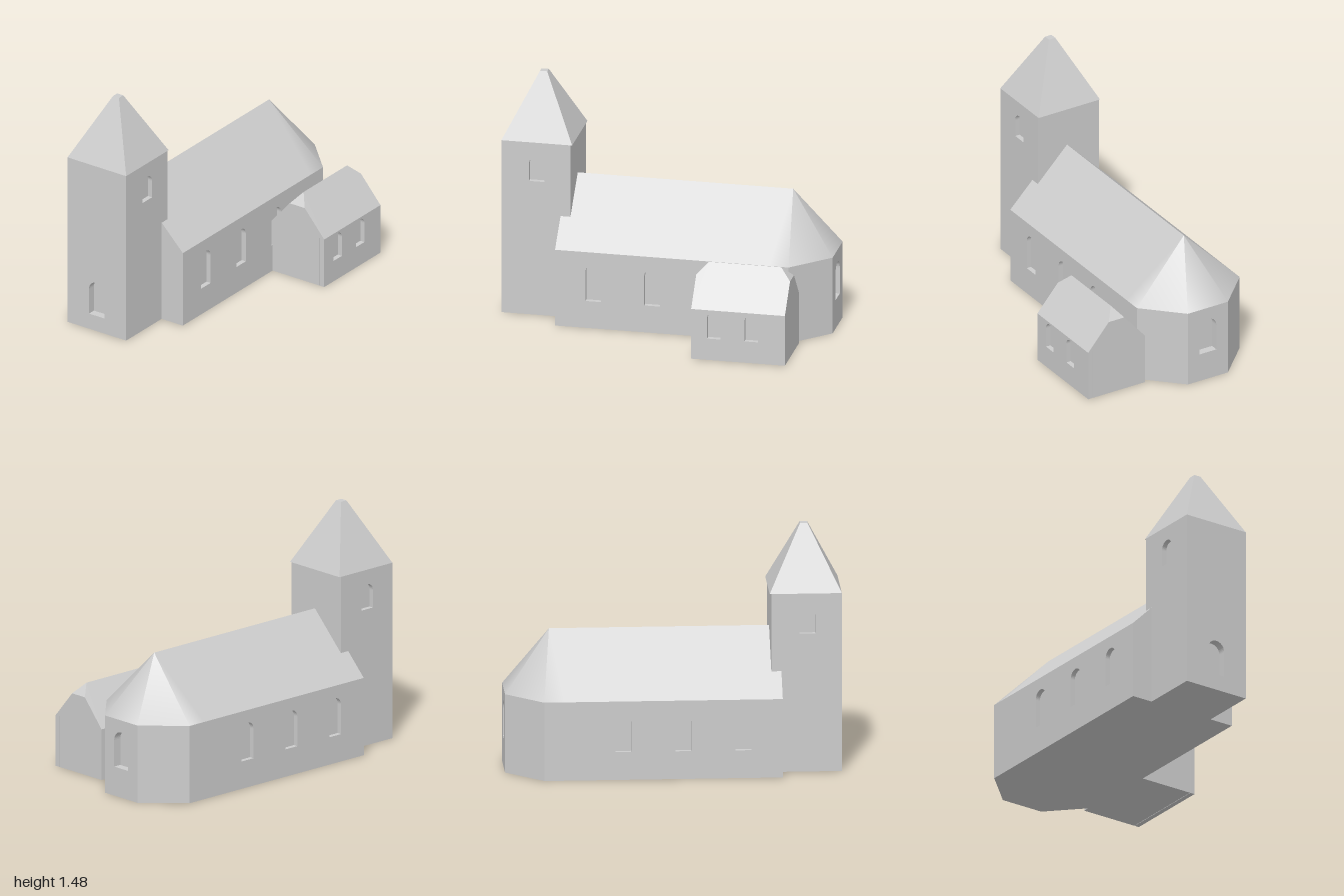
import * as THREE from 'three';
import { ConvexGeometry } from 'three/addons/geometries/ConvexGeometry.js';

const stone = new THREE.MeshStandardMaterial({ color: 0xcccccc });
stone.name = 'pale grey';

function part(name, geometry) {
  const mesh = new THREE.Mesh(geometry, stone);
  mesh.name = name;
  return mesh;
}

// Vertical solid standing on the ground, from [x, z] corners
function footprint(name, corners, height) {
  const shape = new THREE.Shape(corners.map(([x, z]) => new THREE.Vector2(x, -z)));
  const geo = new THREE.ExtrudeGeometry(shape, { depth: height, bevelEnabled: false });
  return part(name, geo.rotateX(-Math.PI / 2));
}

// Flat-sided closed solid around a few [x, y, z] points
function solid(name, points) {
  return part(name, new ConvexGeometry(points.map((p) => new THREE.Vector3(...p))));
}

// Round-headed opening
function arch(u, bottom, width, height) {
  const r = width / 2;
  const path = new THREE.Path();
  path.moveTo(u - r, bottom);
  path.lineTo(u + r, bottom);
  path.lineTo(u + r, bottom + height - r);
  path.absarc(u, bottom + height - r, r, 0, Math.PI, false);
  path.lineTo(u - r, bottom);
  return path;
}

// Outer wall layer with niches; x and z locate the middle of its outer face
function wall(name, width, height, depth, arches, x, z, angle = 0) {
  const w = width / 2;
  const shape = new THREE.Shape([[-w, 0], [w, 0], [w, height], [-w, height]]
    .map(([a, b]) => new THREE.Vector2(a, b)));
  shape.holes = arches.map((a) => arch(...a));
  const geo = new THREE.ExtrudeGeometry(shape, { depth, bevelEnabled: false, curveSegments: 10 });
  const mesh = part(name, geo.translate(0, 0, -depth));
  mesh.position.set(x, 0, z);
  mesh.rotation.y = angle;
  return mesh;
}

function tower() {
  const g = new THREE.Group();
  g.name = 'tower';
  const h = 1.09, mx = -0.79, mz = -0.2;
  g.add(footprint('towerCore', [[-0.95, -0.015], [-0.58, -0.015], [-0.58, -0.385], [-0.95, -0.385]], h));
  const belfry = [[0.005, 0.845, 0.095, 0.155]];
  g.add(wall('towerFrontWall', 0.42, h, 0.03, belfry, mx, 0.015));
  g.add(wall('towerBackWall', 0.42, h, 0.03, belfry, mx, -0.415, Math.PI));
  g.add(wall('towerEntranceWall', 0.37, h, 0.05, [[0, 0.1, 0.115, 0.22]], -1, mz, -Math.PI / 2));

  // Spire with a small flat top
  const pts = [];
  for (const sx of [-1, 1]) {
    for (const sz of [-1, 1]) {
      pts.push([-0.785 + sx * 0.215, h, mz + sz * 0.215]);
      pts.push([-0.785 + sx * 0.022, 1.475, mz + sz * 0.022]);
    }
  }
  g.add(solid('spire', pts));
  return g;
}

function nave() {
  const g = new THREE.Group();
  g.name = 'nave';
  const eave = 0.48, ridge = 0.845, mz = -0.19;
  g.add(footprint('naveCore', [
    [-0.64, 0.14], [0.78, 0.14], [0.78, 0.17], [1, -0.05], [0.95, -0.05],
    [0.95, -0.33], [1, -0.33], [0.78, -0.55], [0.78, -0.52], [-0.64, -0.52],
  ], eave));

  // Side walls, three niches each, mirrored
  const mx = 0.07;
  for (const side of [1, -1]) {
    const arches = [-0.407, -0.05, 0.307].map((x) => [(x - mx) * side, 0.17, 0.096, 0.232]);
    g.add(wall(side > 0 ? 'naveFrontWall' : 'naveBackWall', 1.42, eave, 0.03, arches,
      mx, mz + side * 0.36, side > 0 ? 0 : Math.PI));
  }
  g.add(wall('apseEndWall', 0.28, eave, 0.05, [[0, 0.18, 0.12, 0.225]], 1, mz, Math.PI / 2));

  // Gable roof
  g.add(solid('naveRoof', [
    [-0.64, eave, 0.17], [-0.64, eave, -0.55], [-0.64, ridge, mz],
    [0.66, eave, 0.17], [0.66, eave, -0.55], [0.73, ridge, mz],
  ]));

  // Smooth fan roof over the apse, one peak vertex per facet
  const rim = [[0.66, 0.17], [0.78, 0.17], [1, -0.05], [1, -0.33], [0.78, -0.55], [0.66, -0.55]];
  const pos = rim.flatMap(([x, z]) => [x, eave, z]);
  const index = [];
  for (let i = 0; i < rim.length - 1; i++) {
    pos.push(0.73, ridge, mz);
    index.push(i, i + 1, rim.length + i);
  }
  const geo = new THREE.BufferGeometry();
  geo.setAttribute('position', new THREE.Float32BufferAttribute(pos, 3));
  geo.setIndex(index);
  geo.computeVertexNormals();
  g.add(part('apseRoof', geo));
  return g;
}

function annex() {
  const g = new THREE.Group();
  g.name = 'annex';
  const eave = 0.315, x0 = 0.27, x1 = 0.84, mx = 0.555;
  g.add(footprint('annexCore', [[x0, 0.515], [x1, 0.515], [x1, 0.15], [x0, 0.15]], eave));
  g.add(wall('annexFrontWall', x1 - x0, eave, 0.03,
    [0.408, 0.636].map((x) => [x - mx, 0.135, 0.083, 0.168]), mx, 0.548));

  // Half-hipped roof with its gable ends
  const pts = [];
  for (const s of [-1, 1]) {
    const x = mx + s * 0.285;
    pts.push([x, eave, 0.548], [x, eave, 0.15], [x, 0.482, 0.405], [x, 0.482, 0.295]);
    pts.push([mx + s * 0.22, 0.547, 0.35]);
  }
  g.add(solid('annexRoof', pts));
  return g;
}

export function createModel() {
  const model = new THREE.Group();
  model.name = 'church';
  model.add(tower(), nave(), annex());
  return model;
}
